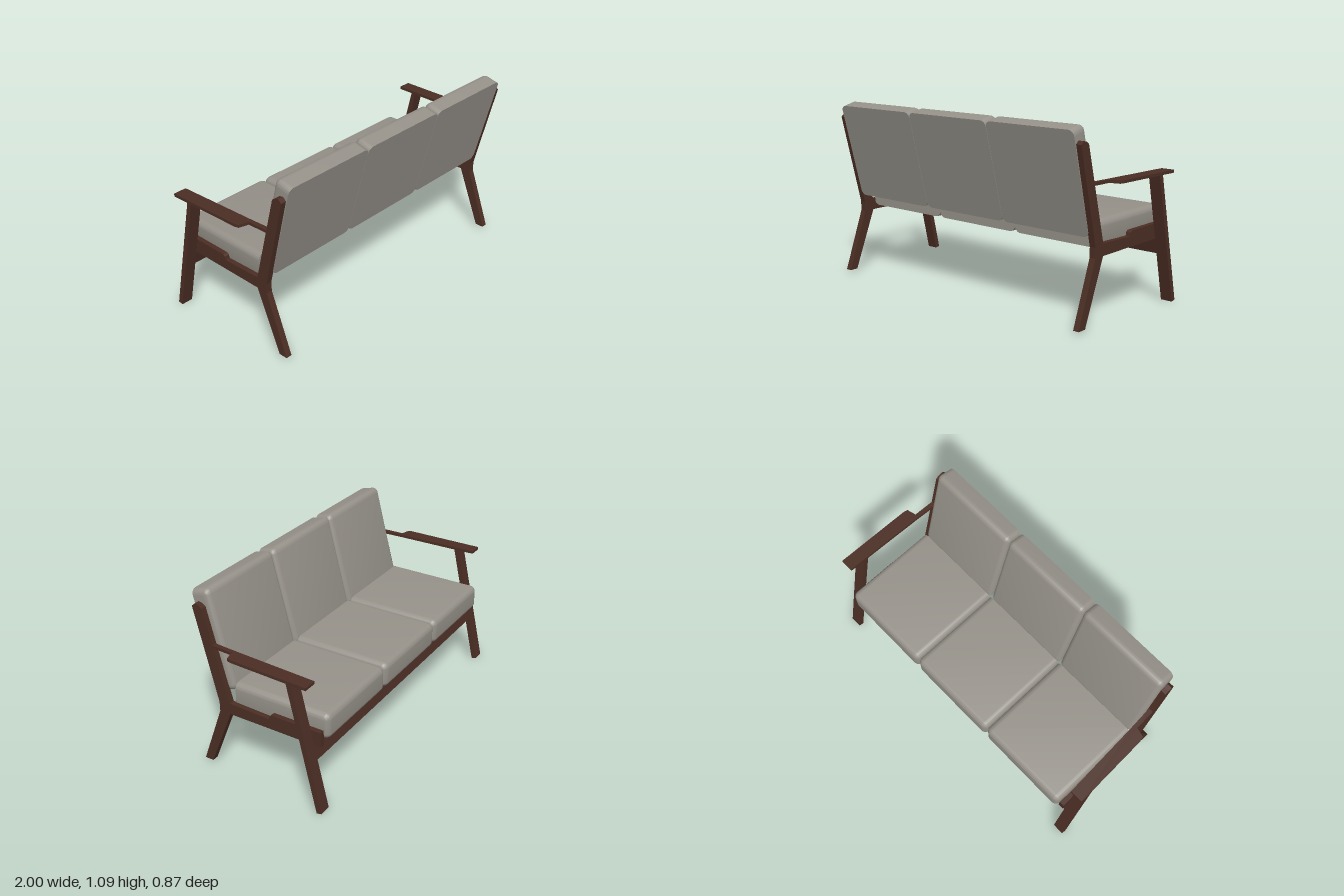
import * as THREE from 'three';
import { toCreasedNormals } from 'three/addons/utils/BufferGeometryUtils.js';
import { RoundedBoxGeometry } from 'three/addons/geometries/RoundedBoxGeometry.js';

const wood = new THREE.MeshStandardMaterial({ color: 0x4b2e24 });
wood.name = 'dark wood';
const fabric = new THREE.MeshStandardMaterial({ color: 0x959189 });
fabric.name = 'grey fabric';

function part(name, geometry, material) {
  const mesh = new THREE.Mesh(geometry, material);
  mesh.name = name;
  return mesh;
}

// Side profile given as [z, y] points, extruded along x from x0 to x1
function sideProfile(points, x0, x1) {
  const shape = new THREE.Shape(points.map(([z, y]) => new THREE.Vector2(-z, y)));
  const depth = Math.abs(x1 - x0);
  return new THREE.ExtrudeGeometry(shape, { depth, bevelEnabled: false })
    .rotateY(Math.PI / 2)
    .translate(Math.min(x0, x1), 0, 0);
}

// Cushion rounded everywhere but on its flat rear face, which lies on z = 0
function cushionGeometry(w, h, d, r) {
  const geo = new RoundedBoxGeometry(w, h, d + r, 5, r);
  geo.translate(0, h / 2, (r - d) / 2);
  const pos = geo.attributes.position;
  for (let i = 0; i < pos.count; i++) pos.setZ(i, Math.min(pos.getZ(i), 0));
  return toCreasedNormals(geo, 0.7);
}

// Legs, side rail and armrest of one end; s is +1 or -1
function endFrame(s) {
  const group = new THREE.Group();
  group.name = s > 0 ? 'leftFrame' : 'rightFrame';

  // Bent rear leg that continues up as the back post
  group.add(part('rearLeg', sideProfile([
    [0.405, 0.013], [0.35, 0.013], [0.2, 0.38], [0.2, 0.45], [0.345, 0.995],
    [0.365, 1.01], [0.39, 1.015], [0.41, 0.997], [0.27, 0.44], [0.27, 0.38],
  ], s * 0.885, s * 0.922), wood));

  // Side rail with a raised front half
  group.add(part('sideRail', sideProfile([
    [0.21, 0.38], [0.21, 0.45], [-0.062, 0.44], [-0.065, 0.46], [-0.078, 0.47],
    [-0.39, 0.47], [-0.39, 0.38],
  ], s * 0.885, s * 0.918), wood));

  // Slanted front leg
  group.add(part('frontLeg', sideProfile([
    [-0.405, 0], [-0.435, 0.007], [-0.26, 0.77], [-0.229, 0.77],
  ], s * 0.918, s * 0.99), wood));

  // Armrest, wide in front and stepped down to a narrow strip at the post
  const plan = [
    [0.92, -0.36], [1.0, -0.36], [0.988, 0.12], [0.982, 0.145], [0.925, 0.16],
    [0.92, 0.29], [0.892, 0.29], [0.9, 0.15],
  ];
  const shape = new THREE.Shape(plan.map(([x, z]) => new THREE.Vector2(s * x, -z)));
  const arm = new THREE.ExtrudeGeometry(shape, { depth: 0.017, bevelEnabled: false })
    .rotateX(-Math.PI / 2 - 0.012)
    .translate(0, 0.768, 0);
  group.add(part('armrest', arm, wood));
  return group;
}

export function createModel() {
  const model = new THREE.Group();
  model.name = 'sofa';
  model.add(endFrame(1), endFrame(-1));

  // Front rail lies in the slant of the front legs
  model.add(part('frontRail', sideProfile([
    [-0.339, 0.29], [-0.369, 0.295], [-0.343, 0.41], [-0.312, 0.405],
  ], -0.92, 0.92), wood));

  // Three seat and back cushions
  const seatGeo = cushionGeometry(0.591, 0.157, 0.6, 0.038);
  const backGeo = cushionGeometry(0.591, 0.6, 0.109, 0.035);
  for (let i = -1; i <= 1; i++) {
    const seat = part('seatCushion', seatGeo, fabric);
    seat.position.set(i * 0.593, 0.41, 0.18);
    const back = part('backCushion', backGeo, fabric);
    back.position.set(i * 0.593, 0.49, 0.285);
    back.rotation.x = 0.253;
    model.add(seat, back);
  }
  return model;
}
